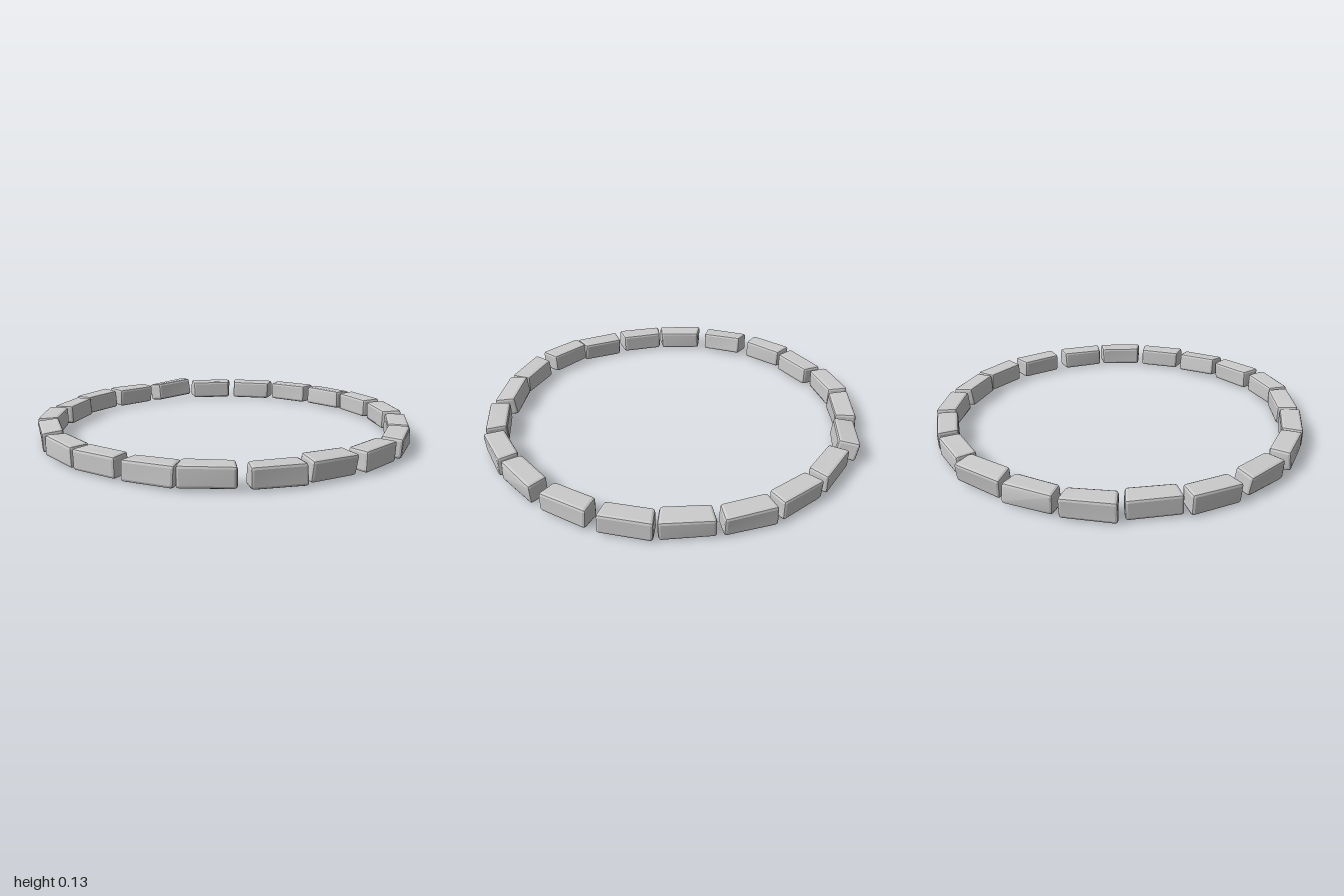
import * as THREE from 'three';
import { RoundedBoxGeometry } from 'three/addons/geometries/RoundedBoxGeometry.js';
import { toCreasedNormals } from 'three/addons/utils/BufferGeometryUtils.js';

// Each stone: bearing around the ring (deg, clockwise from the back), radius, heading (deg)
const STONES = [
  [7.7, 0.938, 7], [24.4, 0.944, 27], [41.5, 0.935, 40.5], [57.5, 0.947, 58],
  [75.5, 0.94, 76], [94.3, 0.938, 94], [110.6, 0.95, 108], [127.7, 0.941, 128.5],
  [145, 0.922, 143.5], [161.3, 0.937, 159], [179.4, 0.937, 179], [194.8, 0.92, 200],
  [212.3, 0.917, 210.5], [228.7, 0.925, 225.5], [247.2, 0.928, 248], [265.7, 0.938, 265],
  [282.5, 0.922, 282], [299.3, 0.948, 299.5], [316, 0.937, 316], [333.6, 0.942, 322],
  [350.4, 0.934, 349.5],
];

// Stones that lean noticeably: index -> [roll, pitch, centre height]
const LEANING = {
  2: [-0.08, 0, 0.061],
  8: [-0.12, 0.04, 0.064],
  10: [0, 0, 0.066],
  11: [0.03, -0.02, 0.057],
  14: [-0.1, 0.03, 0.062],
  19: [-0.15, 0.07, 0.067],
};

const LENGTH = 0.25, HEIGHT = 0.104, DEPTH = 0.11;

// Bevelled block, wedge shaped (longer on the outer side) with slightly uneven corners
function stoneGeometry(seed) {
  const g = new RoundedBoxGeometry(LENGTH, HEIGHT, DEPTH, 1, 0.014);
  const p = g.attributes.position;
  for (let i = 0; i < p.count; i++) {
    const x = p.getX(i), y = p.getY(i), z = p.getZ(i);
    const u = (2 * x) / LENGTH, v = (2 * y) / HEIGHT, w = (2 * z) / DEPTH;
    const wobble = 0.003 * Math.sin(seed * 2.4) * u * v;
    p.setXYZ(
      i,
      x * (1 - 0.06 * w) + 0.003 * Math.sin(seed * 1.7) * v * w,
      y + 0.002 * Math.sin(seed * 3.1) * u * w,
      z + wobble
    );
  }
  return toCreasedNormals(g, 0.3);
}

export function createModel() {
  const ring = new THREE.Group();
  ring.name = 'stoneRing';
  const material = new THREE.MeshStandardMaterial({ color: 0xcccccc });

  STONES.forEach(([bearing, radius, heading], i) => {
    const a = THREE.MathUtils.degToRad(bearing);
    const [roll, pitch, y] = LEANING[i] ?? [0.025 * Math.sin(i * 5), 0.012 * Math.sin(i * 3), 0.06];
    const stone = new THREE.Mesh(stoneGeometry(i + 1), material);
    stone.name = `stone${i + 1}`;
    stone.position.set(radius * Math.sin(a), y, -radius * Math.cos(a));
    stone.rotation.set(roll, -THREE.MathUtils.degToRad(heading), pitch, 'YXZ');
    ring.add(stone);
  });

  return ring;
}
